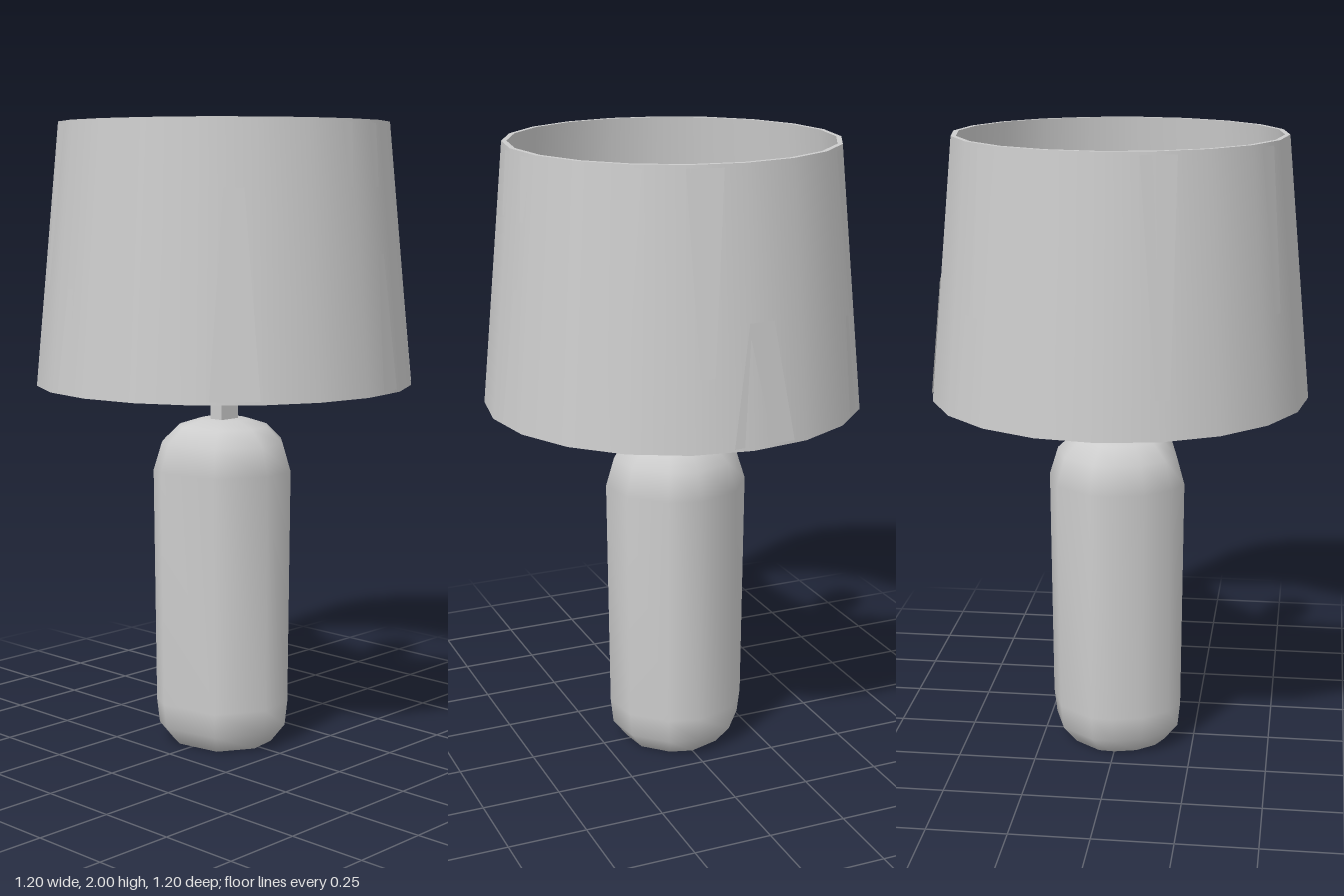
import * as THREE from 'three';

const SIDES = 20;
const BOTTOM = { y: 1.18, r: 0.598 }, TOP = { y: 2, r: 0.52 };
const THICKNESS = 0.016;

function shadeRadius(y) {
  return THREE.MathUtils.mapLinear(y, BOTTOM.y, TOP.y, BOTTOM.r, TOP.r);
}

function lathe(points, sides) {
  return new THREE.LatheGeometry(points.map(([r, y]) => new THREE.Vector2(r, y)), sides);
}

// Closed loft: one irregular outline, scaled to a profile of [scale, y] rings
function loft(outline, profile) {
  const n = outline.length, pos = [], index = [];
  for (const [s, y] of profile) for (const [x, z] of outline) pos.push(x * s, y, z * s);
  for (let j = 0; j < profile.length - 1; j++) {
    for (let i = 0; i < n; i++) {
      const a = j * n + i, b = j * n + (i + 1) % n;
      index.push(a, a + n, b, b, a + n, b + n);
    }
  }
  const g = new THREE.BufferGeometry();
  g.setAttribute('position', new THREE.Float32BufferAttribute(pos, 3));
  g.setIndex(index);
  g.computeVertexNormals();
  return g;
}

// Narrow tapering strip lying on the shade, from yWide to yTip
function pleatGeometry(angle, width, yWide, yTip) {
  const corner = (y, w) => {
    const r = shadeRadius(y) + 0.001, a = angle + w / 2 / r;
    return [Math.sin(a) * r, y, Math.cos(a) * r];
  };
  const g = new THREE.BufferGeometry();
  g.setAttribute('position', new THREE.Float32BufferAttribute([
    ...corner(yWide, -width), ...corner(yWide, width),
    ...corner(yTip, width * 0.4), ...corner(yTip, -width * 0.4)], 3));
  g.setIndex(yTip > yWide ? [0, 1, 2, 0, 2, 3] : [0, 2, 1, 0, 3, 2]);
  g.computeVertexNormals();
  return g;
}

export function createModel() {
  const model = new THREE.Group();
  model.name = 'tableLamp';
  const grey = new THREE.MeshStandardMaterial({ color: 0xcccccc });
  grey.name = 'light grey';
  const greyThin = grey;
  greyThin.side = THREE.DoubleSide;

  const add = (name, geometry, parent = model) => {
    const mesh = new THREE.Mesh(geometry, grey);
    mesh.name = name;
    parent.add(mesh);
    return mesh;
  };

  // Base: rounded, slightly uneven column
  const outline = [[0.23, 0], [0.185, -0.14], [0.07, -0.225], [0, -0.23], [-0.1, -0.205], [-0.18, -0.14],
    [-0.215, -0.07], [-0.18, 0.13], [-0.03, 0.22], [0.1, 0.2], [0.2, 0.1]];
  add('base', loft(outline, [[0, 0], [0.72, 0], [0.93, 0.06], [0.97, 0.14], [1, 0.9],
    [0.88, 0.99], [0.65, 1.04], [0.35, 1.062], [0, 1.062]]));

  // Neck
  const neck = add('neck', new THREE.BoxGeometry(0.075, 0.32, 0.05));
  neck.position.set(0.002, 1.19, 0);

  // Socket collar and bulb
  add('socketCollar', lathe([[0, 1.32], [0.06, 1.32], [0.095, 1.345], [0.06, 1.365], [0, 1.365]], 8));
  add('bulb', lathe([[0.04, 1.36], [0.045, 1.39], [0.08, 1.47], [0.088, 1.53], [0.07, 1.59], [0, 1.62]], 8));

  // Shade: outer wall, inner wall and two rims
  const shade = new THREE.Group();
  shade.name = 'shade';
  model.add(shade);
  const outB = [BOTTOM.r, BOTTOM.y], outT = [TOP.r, TOP.y];
  const inB = [BOTTOM.r - THICKNESS, BOTTOM.y], inT = [TOP.r - THICKNESS, TOP.y];
  add('shadeOuterWall', lathe([outB, outT], SIDES), shade);
  add('shadeInnerWall', lathe([inT, inB], SIDES), shade);
  add('shadeTopRim', lathe([outT, inT], SIDES), shade);
  add('shadeBottomRim', lathe([inB, outB], SIDES), shade);

  // Pleats: [x, z, width, wide end y, tip y]
  const pleats = [
    [-0.02, 0.52, 0.045, 1.99, 1.8], [0.11, 0.51, 0.05, 1.99, 1.8], [0.42, 0.31, 0.07, 1.99, 1.6],
    [-0.41, 0.44, 0.15, 1.19, 1.8], [0.12, 0.58, 0.085, 1.19, 1.6], [0.42, 0.42, 0.09, 1.19, 1.6],
    [-0.52, 0.29, 0.06, 1.19, 1.6], [0.51, 0.12, 0.11, 1.99, 1.4], [0.6, -0.04, 0.2, 1.19, 1.55],
    [0.34, -0.39, 0.08, 1.99, 1.5], [0.43, -0.42, 0.06, 1.19, 1.5], [-0.17, -0.5, 0.11, 1.99, 1.3],
    [0.15, -0.56, 0.08, 1.19, 1.6], [-0.46, -0.24, 0.07, 1.99, 1.5], [-0.58, -0.1, 0.07, 1.19, 1.5],
  ];
  for (const [x, z, width, yWide, yTip] of pleats) {
    add('pleat', pleatGeometry(Math.atan2(x, z), width, yWide, yTip), shade);
  }
  return model;
}
